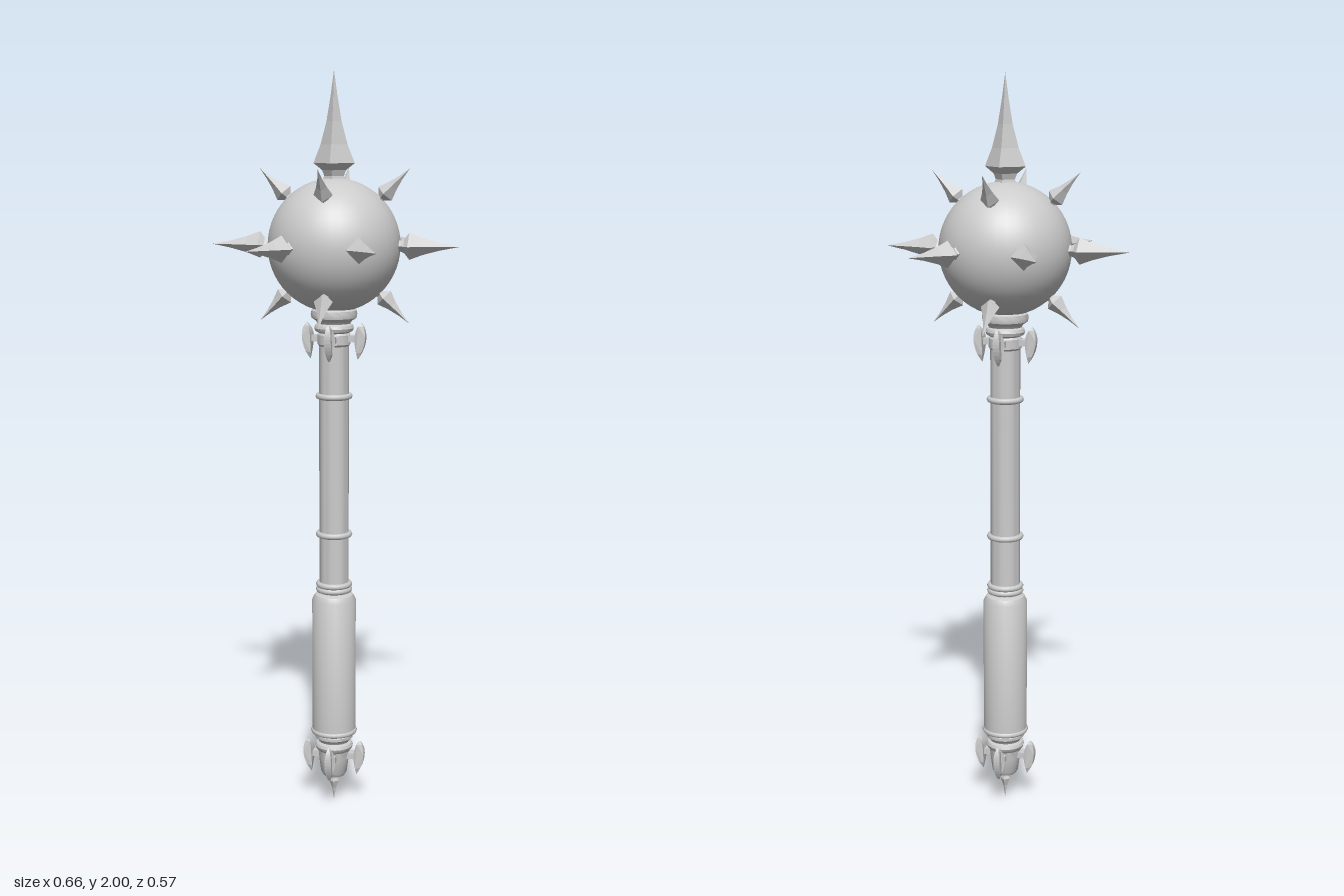
import * as THREE from 'three';
import { toCreasedNormals } from 'three/addons/utils/BufferGeometryUtils.js';

const HEAD_Y = 1.55;
const smooth = new THREE.MeshStandardMaterial({ color: 0xcccccc });
const faceted = new THREE.MeshStandardMaterial({ color: 0xcccccc, flatShading: true });
const profile = (pts) => pts.map(([r, y]) => new THREE.Vector2(r, y));

// round part turned from [radius, height] pairs, listed bottom to top
function turned(name, pts, segments = 24) {
  const geo = toCreasedNormals(new THREE.LatheGeometry(profile(pts), segments), 0.6);
  const mesh = new THREE.Mesh(geo, smooth);
  mesh.name = name;
  return mesh;
}

// four-sided spike with concave flanks, tilted from vertical and turned around y
function spike(name, pts, tilt, turn) {
  const mesh = new THREE.Mesh(new THREE.LatheGeometry(profile(pts), 4), faceted);
  mesh.name = name;
  mesh.rotation.set(0, turn, -tilt, 'YXZ');
  return mesh;
}

// crescent claw on a short arm, thinned towards its tips
function clawGeometry() {
  const s = new THREE.Shape();
  s.moveTo(0.03, -0.008);
  s.lineTo(0.058, -0.008);
  s.quadraticCurveTo(0.06, -0.03, 0.064, -0.056);
  s.quadraticCurveTo(0.086, -0.025, 0.086, 0.005);
  s.quadraticCurveTo(0.086, 0.03, 0.074, 0.042);
  s.quadraticCurveTo(0.06, 0.03, 0.058, 0.008);
  s.lineTo(0.03, 0.01);
  s.closePath();
  const geo = new THREE.ExtrudeGeometry(s, { depth: 0.03, bevelEnabled: false, curveSegments: 6 });
  geo.translate(0, 0, -0.015);
  const p = geo.attributes.position;
  for (let i = 0; i < p.count; i++) {
    const y = p.getY(i);
    const reach = y < 0 ? -y / 0.056 : y / 0.042;
    const outer = THREE.MathUtils.clamp((p.getX(i) - 0.058) / 0.028, 0, 1);
    p.setZ(i, p.getZ(i) * (1 - 0.85 * reach * reach) * (1 - 0.4 * outer));
  }
  geo.computeVertexNormals();
  return geo;
}

function clawCrown(name, y) {
  const crown = new THREE.Group();
  crown.name = name;
  const geo = clawGeometry();
  for (let i = 0; i < 4; i++) {
    const claw = new THREE.Mesh(geo, faceted);
    claw.name = 'claw';
    claw.rotation.y = i * Math.PI / 2;
    crown.add(claw);
  }
  crown.position.y = y;
  return crown;
}

export function createModel() {
  const model = new THREE.Group();
  model.name = 'spikedMace';

  // head and its spikes
  const head = new THREE.Group();
  head.name = 'head';
  head.position.y = HEAD_Y;
  const ball = new THREE.Mesh(new THREE.SphereGeometry(0.175, 40, 28), smooth);
  ball.name = 'ball';
  head.add(ball);

  head.add(spike('topSpike', [[0.032, 0.165], [0.026, 0.18], [0.032, 0.195], [0.055, 0.213],
    [0.036, 0.26], [0.02, 0.32], [0.009, 0.385], [0, 0.45]], 0, 0));

  const longSpike = [[0.022, 0.165], [0.014, 0.178], [0.018, 0.187], [0.035, 0.2],
    [0.022, 0.235], [0.01, 0.28], [0, 0.331]];
  for (let i = 0; i < 6; i++) head.add(spike('sideSpike', longSpike, Math.PI / 2, i * Math.PI / 3));

  const shortSpike = [[0.014, 0.165], [0.011, 0.177], [0.025, 0.191], [0.014, 0.22],
    [0.006, 0.25], [0, 0.284]];
  for (const tilt of [Math.PI / 4, Math.PI * 3 / 4]) {
    for (let i = 0; i < 4; i++) head.add(spike('slantedSpike', shortSpike, tilt, i * Math.PI / 2));
  }
  model.add(head);

  // collar under the head
  model.add(turned('headCollar', [[0.04, 1.285], [0.044, 1.29], [0.044, 1.315], [0.04, 1.32],
    [0.05, 1.325], [0.053, 1.333], [0.05, 1.341], [0.044, 1.345], [0.048, 1.352], [0.06, 1.36],
    [0.062, 1.37], [0.06, 1.38], [0.05, 1.388], [0.05, 1.41]]));
  model.add(clawCrown('headClaws', 1.305));

  // shaft with its rings
  model.add(turned('shaft', [[0.04, 0.58], [0.04, 1.4]]));
  for (const y of [0.615, 0.629, 0.77, 1.15]) {
    const ring = new THREE.Mesh(new THREE.TorusGeometry(0.042, 0.008, 8, 28), smooth);
    ring.name = 'shaftRing';
    ring.rotation.x = Math.PI / 2;
    ring.position.y = y;
    model.add(ring);
  }

  // grip
  model.add(turned('grip', [[0.04, 0.2], [0.06, 0.212], [0.06, 0.585], [0.052, 0.6], [0.04, 0.605]]));
  const gripRing = new THREE.Mesh(new THREE.TorusGeometry(0.056, 0.008, 8, 28), smooth);
  gripRing.name = 'gripRing';
  gripRing.rotation.x = Math.PI / 2;
  gripRing.position.y = 0.208;
  model.add(gripRing);

  // pommel with claws and end spike
  model.add(turned('pommel', [[0, 0.076], [0.03, 0.076], [0.036, 0.086], [0.042, 0.13], [0.044, 0.15],
    [0.05, 0.156], [0.053, 0.164], [0.05, 0.172], [0.042, 0.176], [0.045, 0.182],
    [0.052, 0.188], [0.052, 0.196], [0.045, 0.205]]));
  model.add(clawCrown('pommelClaws', 0.136));
  const endSpike = spike('endSpike', [[0.01, -0.005], [0.007, 0.012], [0.014, 0.024], [0.006, 0.045],
    [0, 0.08]], Math.PI, 0);
  endSpike.position.y = 0.08;
  model.add(endSpike);

  return model;
}
